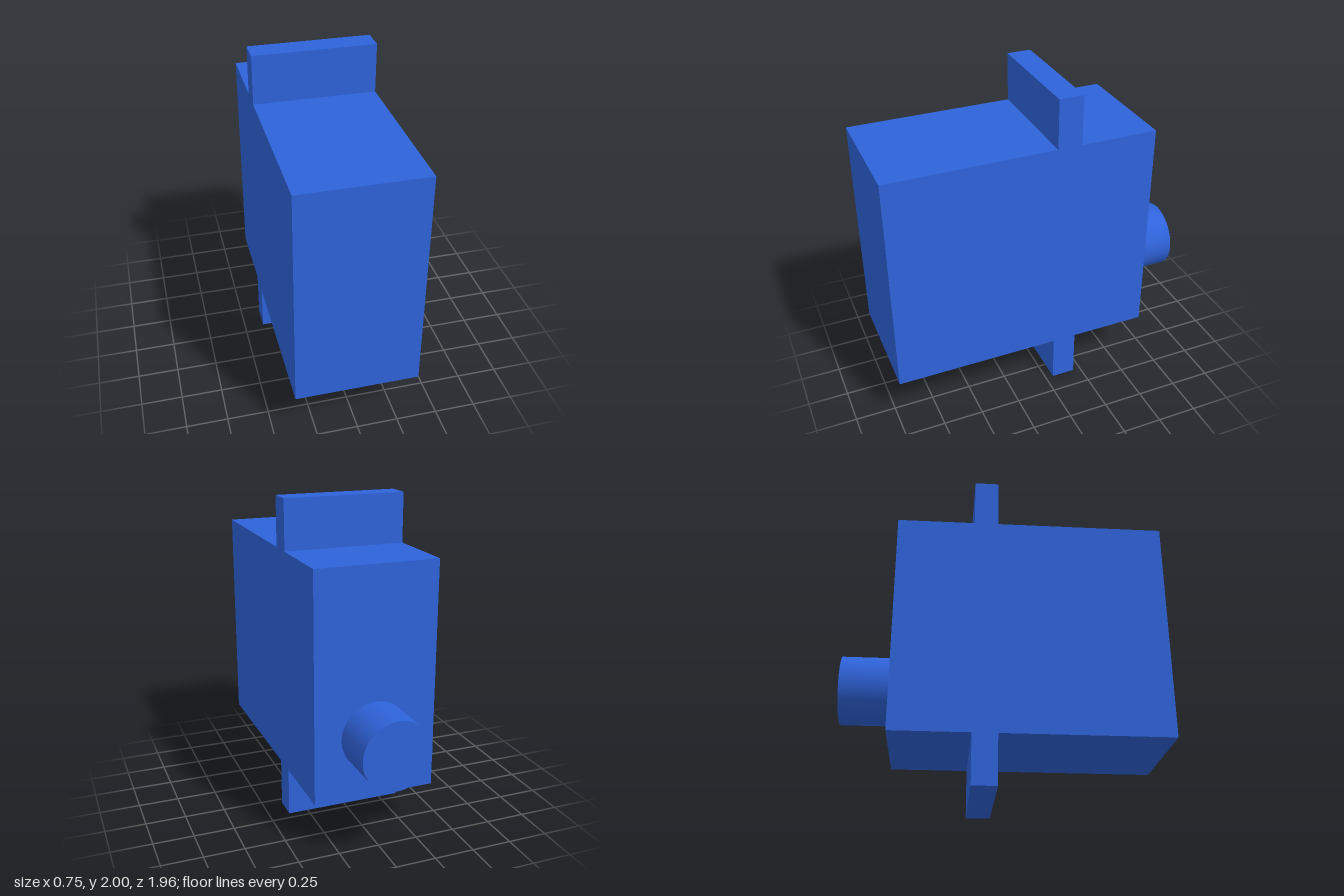
import * as THREE from 'three';

export function createModel() {
  const model = new THREE.Group();
  model.name = 'servoMotor';
  const blue = new THREE.MeshStandardMaterial({ color: 0x2f63da });
  blue.name = 'blue';

  const width = 0.75;
  const add = (name, geometry, x, y, z) => {
    const mesh = new THREE.Mesh(geometry, blue);
    mesh.name = name;
    mesh.position.set(x, y, z);
    model.add(mesh);
    return mesh;
  };

  // Main housing
  add('housing', new THREE.BoxGeometry(width, 1.39, 1.66), 0, 1, 0.15);

  // Mounting tabs above and below the housing
  for (const [name, side] of [['upperTab', 1], ['lowerTab', -1]]) {
    add(name, new THREE.BoxGeometry(width, 0.305, 0.15), 0, 1 + side * 0.8475, -0.125);
  }

  // Output shaft on the back
  const shaft = add('outputShaft', new THREE.CylinderGeometry(0.21, 0.21, 0.305, 64), 0, 0.683, -0.8325);
  shaft.rotation.x = -Math.PI / 2;

  return model;
}
